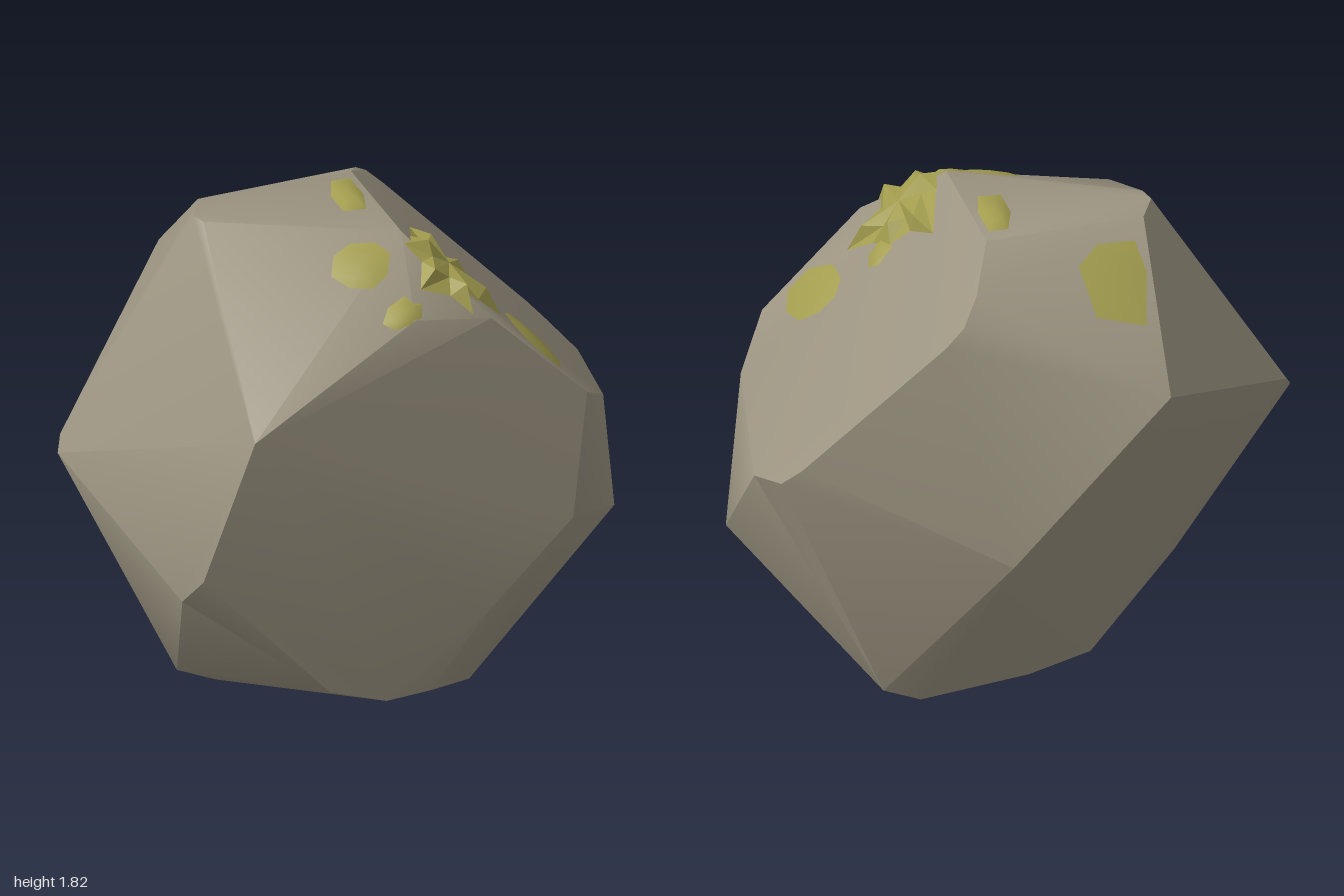
import * as THREE from 'three';
import { toCreasedNormals } from 'three/addons/utils/BufferGeometryUtils.js';
import { ConvexGeometry } from 'three/addons/geometries/ConvexGeometry.js';

const stone = new THREE.MeshStandardMaterial({ color: 0x9c9481 });
stone.name = 'stone';
const moss = new THREE.MeshStandardMaterial({ color: 0xa29c4e, side: THREE.DoubleSide });
moss.name = 'moss';

// Corners of the boulder, from the crown down to the foot
const crown = [
  [0.16, 1.8, -0.2], [0.12, 1.8, 0.28], [-0.48, 1.8, -0.1], [-0.49, 1.8, -0.16], [-0.42, 1.8, -0.26],
  [0.27, 1.7, -0.38], [0.35, 1.63, -0.46], [0.42, 1.56, -0.46], [0.03, 1.6, 0.57], [0.34, 1.53, 0.56],
];
const waist = [
  [-0.67, 1.33, 0.69], [-0.32, 1.36, -0.77], [0.7, 1.16, 0.6], [0.85, 1.03, 0.43],
  [1, 0.93, -0.07], [0.96, 0.98, -0.23], [0.9, 1.05, -0.28], [-1, 0.93, -0.22], [-0.97, 0.98, -0.26],
  [-0.82, 0.75, 0.58], [-0.87, 0.65, 0.51], [0.6, 0.72, 0.69], [0.26, 0.74, -0.71],
];
const foot = [
  [0.96, 0.49, 0.3], [0.21, 0.45, 0.76], [0.04, 0.15, 0.68], [-0.14, 0.15, 0.68], [-0.34, 0.21, 0.63],
  [-0.68, 0.12, 0.09], [0.62, 0.1, -0.36], [0.46, 0, -0.32], [0.04, 0, -0.31], [-0.22, 0, -0.25],
  [-0.49, 0, 0.02], [0.32, 0, 0.42],
];

// Moss outlines as [x, z], draped on the boulder from above
const patches = [
  { name: 'mossFront', h: 0.014, out: [[-0.17, 0.3], [-0.13, 0.24], [-0.06, 0.23], [0.02, 0.27], [0.05, 0.33], [0.01, 0.39], [-0.06, 0.41], [-0.13, 0.37]] },
  { name: 'mossEdge', h: 0.014, out: [[-0.08, 0.53], [-0.04, 0.49], [0.03, 0.48], [0.08, 0.52], [0.06, 0.56], [0, 0.575], [-0.05, 0.57]] },
  { name: 'mossSide', h: 0.014, out: [[0.54, 0.29], [0.6, 0.3], [0.65, 0.36], [0.66, 0.46], [0.62, 0.55], [0.54, 0.54], [0.49, 0.44], [0.5, 0.34]] },
  { name: 'mossBack', h: 0.008, out: [[-0.31, -0.56], [-0.14, -0.51], [-0.13, -0.36], [-0.22, -0.31], [-0.36, -0.32], [-0.37, -0.41]] },
  { name: 'mossTop', h: 0.022, out: [[0.06, -0.16], [0.13, -0.15], [0.12, -0.02], [0.08, 0.08], [0, 0.06], [0.01, -0.06]] },
  { name: 'mossLobe', h: 0.014, out: [[0.35, 0.22], [0.41, 0.21], [0.43, 0.25], [0.41, 0.3], [0.35, 0.31]] },
  {
    name: 'mossClump', h: 0.045, spiky: true,
    out: [[0.25, 0.08], [0.29, 0.2], [0.35, 0.24], [0.38, 0.33], [0.44, 0.43], [0.34, 0.45], [0.27, 0.55],
      [0.21, 0.49], [0.1, 0.47], [0.15, 0.38], [0.11, 0.32], [0.17, 0.25]],
  },
];

function createBoulder() {
  const points = [...crown, ...waist, ...foot].map((p) => new THREE.Vector3(...p));
  const mesh = new THREE.Mesh(toCreasedNormals(new ConvexGeometry(points), 0.72), stone);
  mesh.name = 'boulder';
  return mesh;
}

// A low dome of two rings and a centre, raised along the surface normal
function createPatch({ name, h, spiky, out }, drop) {
  const n = out.length;
  const cx = out.reduce((s, p) => s + p[0], 0) / n;
  const cz = out.reduce((s, p) => s + p[1], 0) / n;
  const ring = (k, lift) => out.map(([x, z], i) => drop(cx + (x - cx) * k, cz + (z - cz) * k, lift(i)));
  const rim = ring(1, () => 0.003);
  const mid = ring(0.6, (i) => (spiky ? (i % 2 ? 0.012 : h) : h * 0.8));
  const top = drop(cx, cz, spiky ? h * 0.6 : h);
  const tris = [];
  for (let i = 0; i < n; i++) {
    const j = (i + 1) % n;
    tris.push(top, mid[j], mid[i], mid[i], mid[j], rim[j], mid[i], rim[j], rim[i]);
  }
  const geo = new THREE.BufferGeometry().setFromPoints(tris);
  const mesh = new THREE.Mesh(toCreasedNormals(geo, spiky ? 0.3 : 0.7), moss);
  mesh.name = name;
  return mesh;
}

export function createModel() {
  const group = new THREE.Group();
  group.name = 'mossyRock';
  const boulder = createBoulder();
  boulder.updateMatrixWorld(true);
  group.add(boulder);

  // Finds the boulder's surface under (x, z) and lifts off it
  const ray = new THREE.Raycaster();
  const down = new THREE.Vector3(0, -1, 0);
  const drop = (x, z, lift) => {
    ray.set(new THREE.Vector3(x, 5, z), down);
    const hit = ray.intersectObject(boulder)[0];
    return hit.point.clone().addScaledVector(hit.face.normal, lift);
  };
  for (const patch of patches) group.add(createPatch(patch, drop));
  return group;
}
